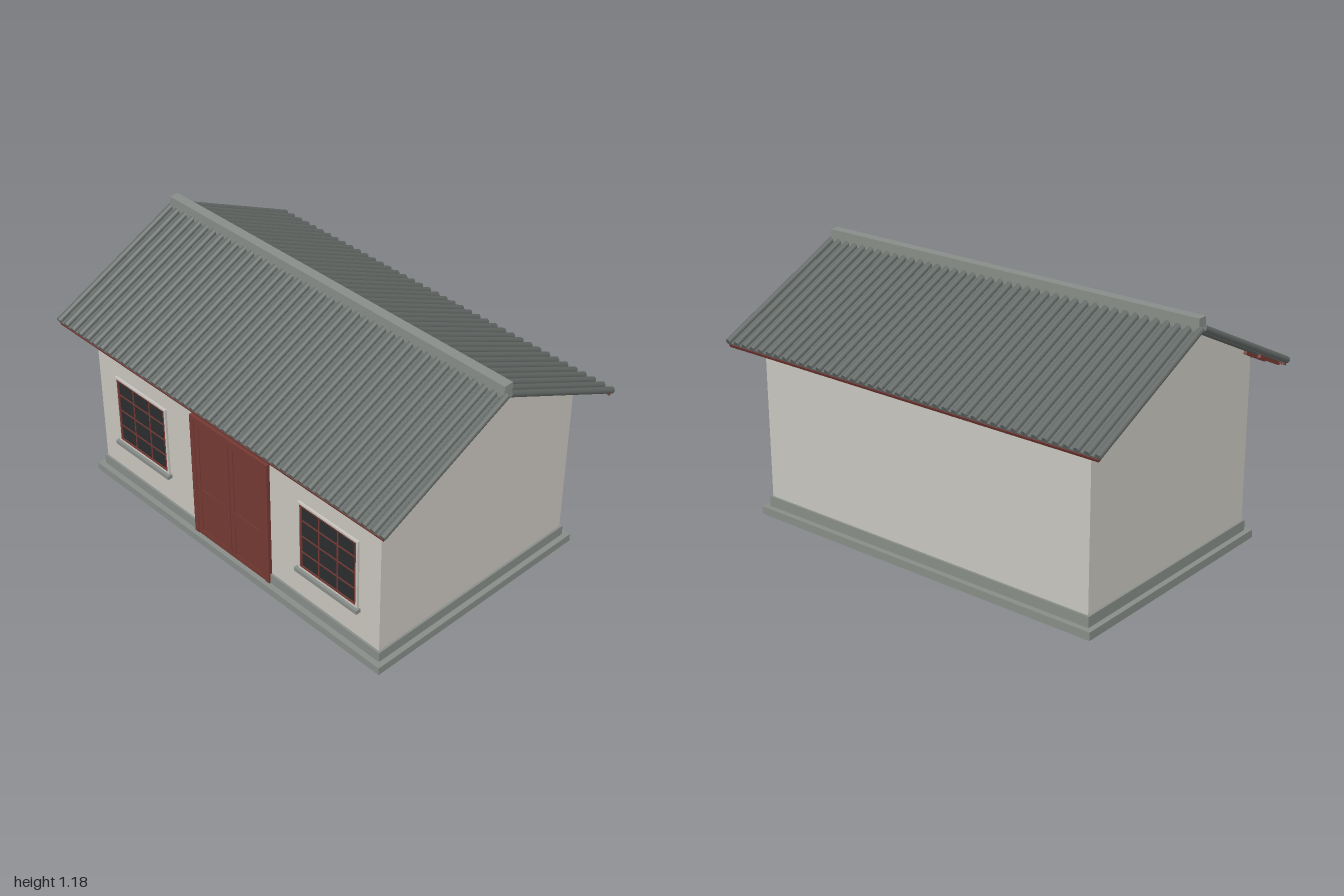
import * as THREE from 'three';

const mat = (name, color) => {
  const m = new THREE.MeshStandardMaterial({ color });
  m.name = name;
  return m;
};

export function createModel() {
  const plaster = mat('plaster', 0xc9c6bf);
  const stone = mat('stone', 0x878d88);
  const tile = mat('roofTile', 0x646a67);
  const wood = mat('redWood', 0x743933);
  const glass = mat('darkGlass', 0x2b2c2e);

  const house = new THREE.Group();
  house.name = 'house';

  // Box given by its min and max corners
  const box = (parent, name, material, x0, x1, y0, y1, z0, z1) => {
    const mesh = new THREE.Mesh(new THREE.BoxGeometry(x1 - x0, y1 - y0, z1 - z0), material);
    mesh.position.set((x0 + x1) / 2, (y0 + y1) / 2, (z0 + z1) / 2);
    mesh.name = name;
    parent.add(mesh);
    return mesh;
  };
  // Four bars around a rectangle
  const frame = (parent, name, material, x0, x1, y0, y1, t, z0, z1) => {
    box(parent, name, material, x0, x0 + t, y0, y1, z0, z1);
    box(parent, name, material, x1 - t, x1, y0, y1, z0, z1);
    box(parent, name, material, x0 + t, x1 - t, y1 - t, y1, z0, z1);
    box(parent, name, material, x0 + t, x1 - t, y0, y0 + t, z0, z1);
  };

  // Stepped plinth
  box(house, 'lowerStep', stone, -0.91, 0.91, 0, 0.037, -0.59, 0.59);
  box(house, 'upperStep', stone, -0.885, 0.885, 0.037, 0.085, -0.564, 0.564);

  // Walls: gable outline extruded along x
  const slope = 0.48, apex = 1.119, halfZ = 0.554, halfX = 0.875;
  const eave = apex - slope * halfZ;
  const gable = new THREE.Shape([
    [-halfZ, 0.08], [halfZ, 0.08], [halfZ, eave], [0, apex], [-halfZ, eave],
  ].map(([a, b]) => new THREE.Vector2(a, b)));
  const wallGeo = new THREE.ExtrudeGeometry(gable, { depth: halfX * 2, bevelEnabled: false });
  wallGeo.translate(0, 0, -halfX).rotateY(Math.PI / 2);
  const walls = new THREE.Mesh(wallGeo, plaster);
  walls.name = 'walls';
  house.add(walls);

  // Double door
  const door = new THREE.Group();
  door.name = 'door';
  house.add(door);
  const wz = 0.55;
  box(door, 'doorJamb', wood, -0.24, -0.215, 0.037, 0.67, wz, 0.571);
  box(door, 'doorJamb', wood, 0.215, 0.24, 0.037, 0.67, wz, 0.571);
  box(door, 'doorHeader', wood, -0.215, 0.215, 0.645, 0.67, wz, 0.571);
  for (const s of [-1, 1]) {
    const a = s < 0 ? -0.215 : 0.002, b = a + 0.213;
    box(door, 'doorPanel', wood, a, b, 0.037, 0.645, wz, 0.565);
    frame(door, 'doorUpperFrame', wood, a, b, 0.27, 0.645, 0.025, wz, 0.568);
    frame(door, 'doorLowerFrame', wood, a, b, 0.037, 0.27, 0.025, wz, 0.568);
  }

  // Windows
  for (const s of [-1, 1]) {
    const win = new THREE.Group();
    win.name = s > 0 ? 'leftWindow' : 'rightWindow';
    win.position.x = s * 0.585;
    house.add(win);
    box(win, 'windowPane', glass, -0.16, 0.16, 0.246, 0.58, wz, 0.557);
    frame(win, 'windowSurround', plaster, -0.172, 0.172, 0.24, 0.59, 0.01, wz, 0.564);
    frame(win, 'windowFrame', wood, -0.163, 0.163, 0.247, 0.582, 0.011, wz, 0.562);
    for (const x of [-0.054, 0.054])
      box(win, 'windowMullion', wood, x - 0.003, x + 0.003, 0.25, 0.58, wz, 0.56);
    for (const y of [0.332, 0.415, 0.498])
      box(win, 'windowBar', wood, -0.16, 0.16, y - 0.003, y + 0.003, wz, 0.56);
    box(win, 'windowSill', stone, -0.182, 0.182, 0.223, 0.242, wz, 0.578);
  }

  // Roof slopes: local +z runs down from the ridge, local y is across the slab
  const length = 0.73, ribs = 41, rafters = 29, ribR = 0.0145;
  const ribGeo = new THREE.CylinderGeometry(ribR, ribR, length, 10).rotateX(Math.PI / 2);
  for (const s of [1, -1]) {
    const side = new THREE.Group();
    side.name = s > 0 ? 'frontRoof' : 'backRoof';
    side.rotation.y = s > 0 ? 0 : Math.PI;
    side.position.y = apex;
    house.add(side);
    const plane = new THREE.Group();
    plane.name = 'roofPlane';
    plane.rotation.x = Math.atan(slope);
    side.add(plane);
    box(plane, 'roofSlab', tile, -0.985, 0.985, 0, 0.013, 0, length);
    for (let i = 0; i < ribs; i++) {
      const rib = new THREE.Mesh(ribGeo, tile);
      rib.name = 'tileRib';
      rib.position.set((i / (ribs - 1) * 2 - 1) * 0.9855, 0.0165, length / 2);
      plane.add(rib);
    }
    for (let i = 0; i < rafters; i++) {
      const x = (i / (rafters - 1) * 2 - 1) * 0.95;
      box(plane, 'rafter', wood, x - 0.008, x + 0.008, -0.014, 0.001, 0.555, length - 0.001);
    }
    box(plane, 'eaveBoard', wood, -0.985, 0.985, -0.008, 0.006, length - 0.01, length + 0.003);
  }

  // Ridge cap
  box(house, 'ridgeCap', stone, -0.985, 0.985, 1.122, 1.18, -0.023, 0.023);
  return house;
}
